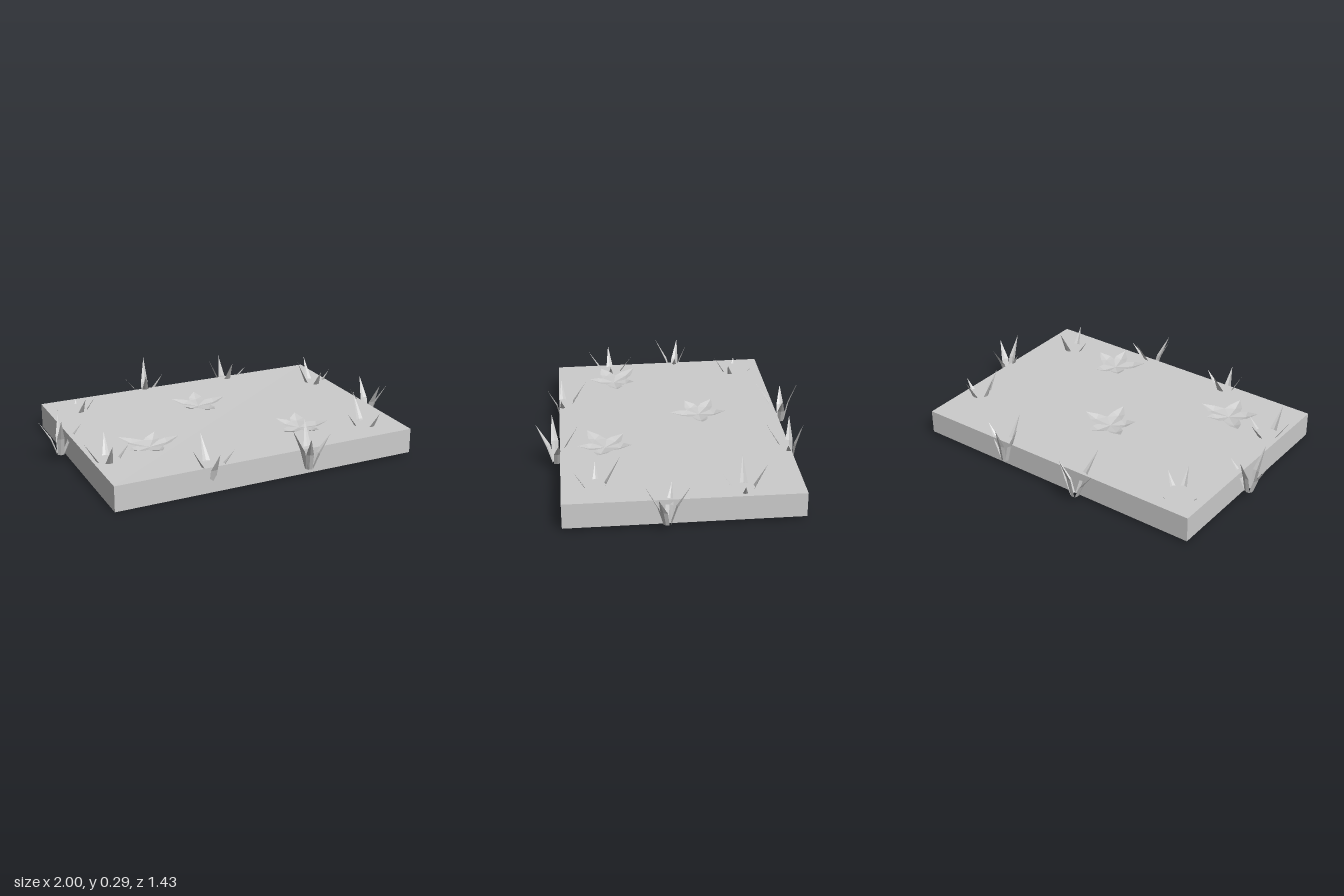
import * as THREE from 'three';

const stone = new THREE.MeshStandardMaterial({ color: 0xcccccc });
stone.name = 'pale grey';
const leaf = new THREE.MeshStandardMaterial({ color: 0xcccccc, side: THREE.DoubleSide });
leaf.name = 'pale grey foliage';

// Flat-shaded mesh from a list of triangles, each made of three [x, y, z] points
function facets(name, triangles) {
  const geometry = new THREE.BufferGeometry();
  geometry.setAttribute('position', new THREE.Float32BufferAttribute(triangles.flat(2), 3));
  geometry.computeVertexNormals();
  const mesh = new THREE.Mesh(geometry, leaf);
  mesh.name = name;
  return mesh;
}

// Slightly skewed and tilted slab: a box with each corner moved
function makeSlab() {
  const corners = { // x, z, bottom, top; keyed by the signs of x and z
    '-1,-1': [-0.89, -0.515, 0.012, 0.15],
    '1,-1': [0.78, -0.69, 0.02, 0.15],
    '1,1': [0.905, 0.515, 0.015, 0.15],
    '-1,1': [-0.775, 0.69, 0, 0.137],
  };
  const geometry = new THREE.BoxGeometry(2, 2, 2).toNonIndexed();
  const p = geometry.attributes.position;
  for (let i = 0; i < p.count; i++) {
    const [x, z, low, high] = corners[`${Math.sign(p.getX(i))},${Math.sign(p.getZ(i))}`];
    p.setXYZ(i, x, p.getY(i) < 0 ? low : high, z);
  }
  geometry.computeVertexNormals();
  const mesh = new THREE.Mesh(geometry, stone);
  mesh.name = 'slab';
  return mesh;
}

// Grass blade: steep at the root, then bending outward to a point
function makeBlade(dx, dz, top) {
  const reach = Math.hypot(dx, dz);
  const ux = dx / reach, uz = dz / reach;
  const point = (r, y, side) => [ux * r - uz * side, y, uz * r + ux * side];
  const rise = top - 0.045;
  const rows = [[0.015, 0.045, 0.017], [reach * 0.4, 0.045 + rise * 0.45, 0.02]]
    .map(([r, y, w]) => [point(r, y, -w), point(r + 0.006, y, 0), point(r, y, w)]);
  const tip = point(reach, top, 0);
  const triangles = [];
  for (let i = 0; i < 2; i++) {
    const [a, b] = [rows[0][i], rows[0][i + 1]];
    const [c, d] = [rows[1][i], rows[1][i + 1]];
    triangles.push([a, c, b], [b, c, d], [c, tip, d]);
  }
  return facets('grassBlade', triangles);
}

// Five-petalled shallow flower; tips are [x, z] offsets in order around the centre
function makeFlower(x, z, tips) {
  const group = new THREE.Group();
  group.name = 'flower';
  group.position.set(x, 0, z);
  const centre = [0, 0.165, 0];
  const notch = (a, b) => {
    const v = new THREE.Vector2(...a).normalize().add(new THREE.Vector2(...b).normalize());
    v.setLength(0.07);
    return [v.x, 0.178, v.y];
  };
  tips.forEach((t, i) => {
    const before = notch(tips[(i + 4) % 5], t);
    const after = notch(t, tips[(i + 1) % 5]);
    const length = Math.hypot(...t);
    const [ux, uz] = t.map((v) => v / length);
    const at = (r, y, side) => [ux * r - uz * side, y, uz * r + ux * side];
    const rib = at(length * 0.58, 0.172, 0);
    const left = at(length * 0.63, 0.184, -0.036);
    const right = at(length * 0.63, 0.184, 0.036);
    const tip = at(length, 0.197, 0);
    group.add(facets('petal', [
      [centre, rib, before], [before, rib, left], [left, rib, tip],
      [centre, after, rib], [after, right, rib], [right, tip, rib],
    ]));
  });
  return group;
}

// Tufts: centre, then [dx, dz, height] for the blades
const tufts = [
  [-0.89, -0.01, [-0.11, -0.02, 0.235], [0.01, -0.08, 0.25], [0.12, -0.01, 0.2], [-0.01, 0.11, 0.27]],
  [-0.25, -0.63, [-0.12, 0, 0.21], [0.02, -0.09, 0.295], [0.11, 0, 0.21], [-0.03, 0.145, 0.26]],
  [0.25, -0.64, [-0.1, 0, 0.27], [-0.01, -0.07, 0.26], [0.14, 0.02, 0.21], [0.01, 0.13, 0.27]],
  [0.72, -0.38, [-0.1, 0.01, 0.28], [-0.01, -0.11, 0.27], [0.11, 0, 0.21], [0, 0.13, 0.25]],
  [0.9, 0, [-0.11, -0.02, 0.22], [0, -0.11, 0.25], [0.1, 0.04, 0.23], [0.02, 0.11, 0.26]],
  [0.71, 0.36, [-0.11, 0.01, 0.22], [-0.02, -0.12, 0.295], [0.03, 0.11, 0.24]],
  [0.28, 0.6, [-0.11, 0.03, 0.28], [0.02, -0.12, 0.27], [0.13, -0.03, 0.21], [-0.04, 0.11, 0.25]],
  [-0.26, 0.61, [-0.1, 0.02, 0.24], [-0.01, -0.13, 0.27], [0.13, 0, 0.21], [0.02, 0.09, 0.23]],
  [-0.73, 0.37, [-0.12, 0.02, 0.25], [0.02, -0.13, 0.24], [0.12, -0.01, 0.21], [0, 0.13, 0.26]],
  [-0.72, -0.37, [-0.13, -0.01, 0.18], [0.02, -0.11, 0.17], [0.1, 0.03, 0.22], [0.03, 0.11, 0.24]],
];

export function createModel() {
  const model = new THREE.Group();
  model.name = 'grassySlab';
  model.add(makeSlab());
  for (const [x, z, ...blades] of tufts) {
    const tuft = new THREE.Group();
    tuft.name = 'grassTuft';
    tuft.position.set(x, 0, z);
    blades.forEach((b) => tuft.add(makeBlade(...b)));
    model.add(tuft);
  }
  model.add(
    makeFlower(-0.07, -0.16, [[0.02, -0.145], [0.16, -0.02], [0.045, 0.16], [-0.11, 0.08], [-0.135, -0.07]]),
    makeFlower(-0.495, 0.335, [[-0.14, -0.11], [0.06, -0.12], [0.165, -0.03], [0.03, 0.14], [-0.13, 0.085]]),
    makeFlower(0.335, 0.335, [[0.03, -0.14], [0.15, 0.03], [0.05, 0.14], [-0.135, 0.105], [-0.1, -0.09]]),
  );
  return model;
}
